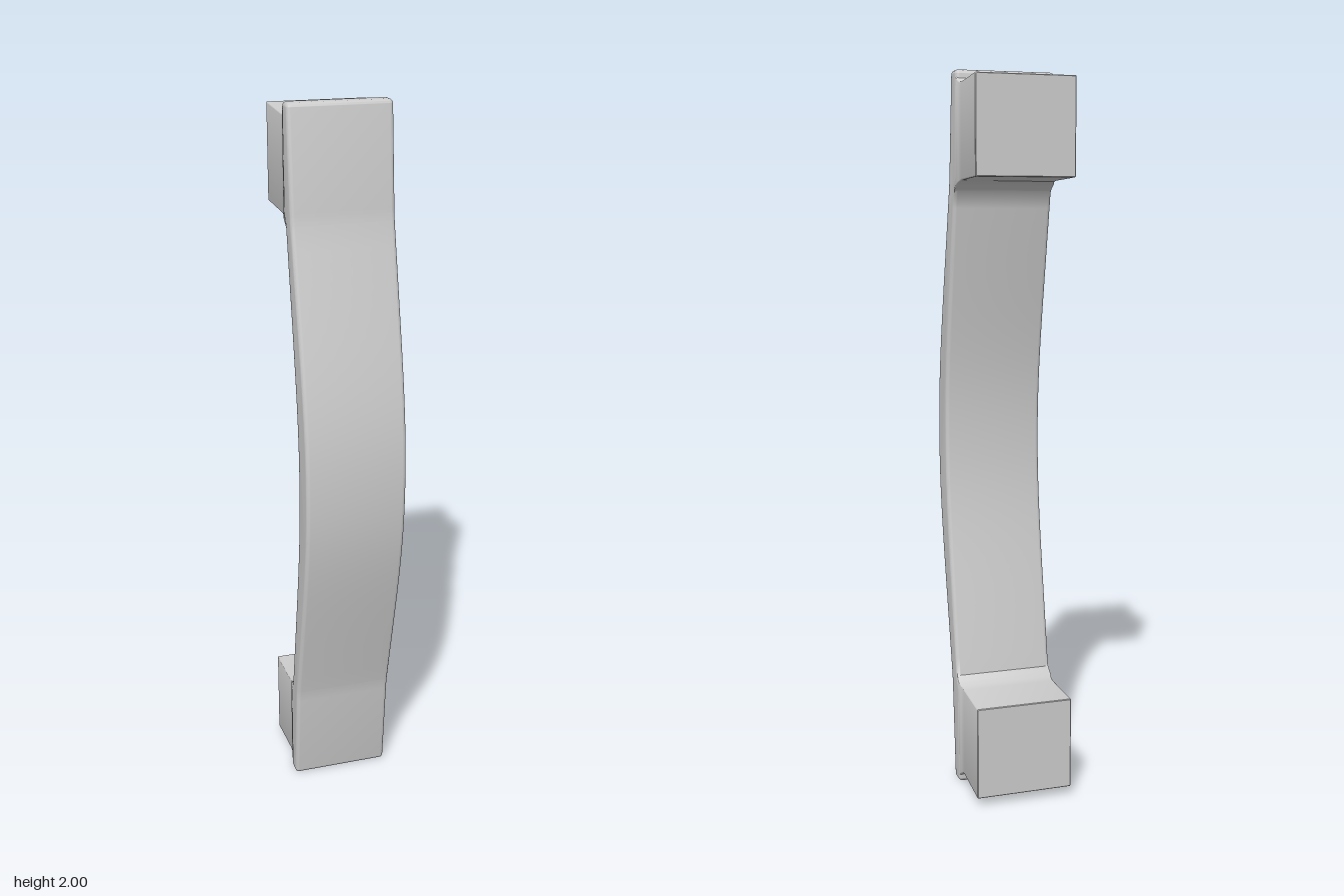
import * as THREE from 'three';
import { toCreasedNormals } from 'three/addons/utils/BufferGeometryUtils.js';

const material = new THREE.MeshStandardMaterial({ color: 0xcccccc });

function addMesh(parent, name, geometry, crease) {
  const mesh = new THREE.Mesh(toCreasedNormals(geometry, crease), material);
  mesh.name = name;
  parent.add(mesh);
  return mesh;
}

// Bowed bar: side profile (z, y) extruded across the width with softened edges
function barGeometry() {
  const s = new THREE.Shape();
  s.moveTo(0.034, 0.016);
  s.lineTo(0.058, 0.27);
  s.quadraticCurveTo(0.06, 0.29, 0.064, 0.31);
  s.bezierCurveTo(0.15, 0.67, 0.19, 0.8, 0.19, 1);
  s.bezierCurveTo(0.19, 1.2, 0.15, 1.33, 0.064, 1.69);
  s.quadraticCurveTo(0.06, 1.71, 0.058, 1.73);
  s.lineTo(0.034, 1.984);
  s.quadraticCurveTo(0.033, 2, 0.02, 2);
  s.lineTo(-0.004, 2);
  s.quadraticCurveTo(-0.017, 2, -0.018, 1.985);
  s.lineTo(-0.015, 1.72);
  s.quadraticCurveTo(-0.008, 1.7, 0.003, 1.69);
  s.bezierCurveTo(0.07, 1.33, 0.105, 1.2, 0.105, 1);
  s.bezierCurveTo(0.105, 0.8, 0.07, 0.67, 0.003, 0.31);
  s.quadraticCurveTo(-0.008, 0.3, -0.015, 0.28);
  s.lineTo(-0.018, 0.015);
  s.quadraticCurveTo(-0.017, 0, -0.004, 0);
  s.lineTo(0.02, 0);
  s.quadraticCurveTo(0.033, 0, 0.034, 0.016);

  const bevel = 0.011;
  const g = new THREE.ExtrudeGeometry(s, {
    depth: 0.28 - 2 * bevel, curveSegments: 20, bevelEnabled: true,
    bevelThickness: bevel, bevelSize: bevel, bevelOffset: -bevel, bevelSegments: 5,
  });
  g.translate(0, 0, -0.14 + bevel);
  return g.rotateY(-Math.PI / 2);
}

// Mounting post: rectangular sections [z, half width, bottom, top] flaring into the bar
function postGeometry() {
  const sections = [
    [-0.192, 0.135, 1.718, 1.973],
    [-0.19, 0.137, 1.716, 1.975],
    [-0.05, 0.134, 1.711, 1.965],
    [-0.036, 0.1345, 1.709, 1.966],
    [-0.027, 0.136, 1.706, 1.969],
    [-0.019, 0.1385, 1.702, 1.976],
    [-0.01, 0.139, 1.697, 1.984],
    [0, 0.139, 1.69, 1.986],
    [0.012, 0.138, 1.675, 1.986],
  ];
  const pos = [], index = [], radius = 0.003, steps = 3;
  const corners = [[1, 1], [-1, 1], [-1, 0], [1, 0]];
  for (const [z, hx, y0, y1] of sections) {
    corners.forEach(([sx, up], c) => {
      for (let k = 0; k <= steps; k++) {
        const a = (c + k / steps) * Math.PI / 2;
        pos.push(sx * (hx - radius) + radius * Math.cos(a),
          (up ? y1 - radius : y0 + radius) + radius * Math.sin(a), z);
      }
    });
  }
  const n = corners.length * (steps + 1);
  for (let i = 0; i < sections.length - 1; i++) {
    for (let j = 0; j < n; j++) {
      const a = i * n + j, b = i * n + (j + 1) % n;
      index.push(a, b, b + n, a, b + n, a + n);
    }
  }
  // Flat mounting face at the back
  for (let j = 1; j < n - 1; j++) index.push(0, j + 1, j);
  const g = new THREE.BufferGeometry();
  g.setAttribute('position', new THREE.Float32BufferAttribute(pos, 3));
  g.setIndex(index);
  return g;
}

export function createModel() {
  const group = new THREE.Group();
  group.name = 'pullHandle';
  addMesh(group, 'bowedBar', barGeometry(), 0.6);
  addMesh(group, 'upperPost', postGeometry(), 0.6);
  // The lower post is the upper one turned half way round the handle's centre
  const lower = addMesh(group, 'lowerPost', postGeometry(), 0.6);
  lower.rotation.z = Math.PI;
  lower.position.y = 2;
  return group;
}
